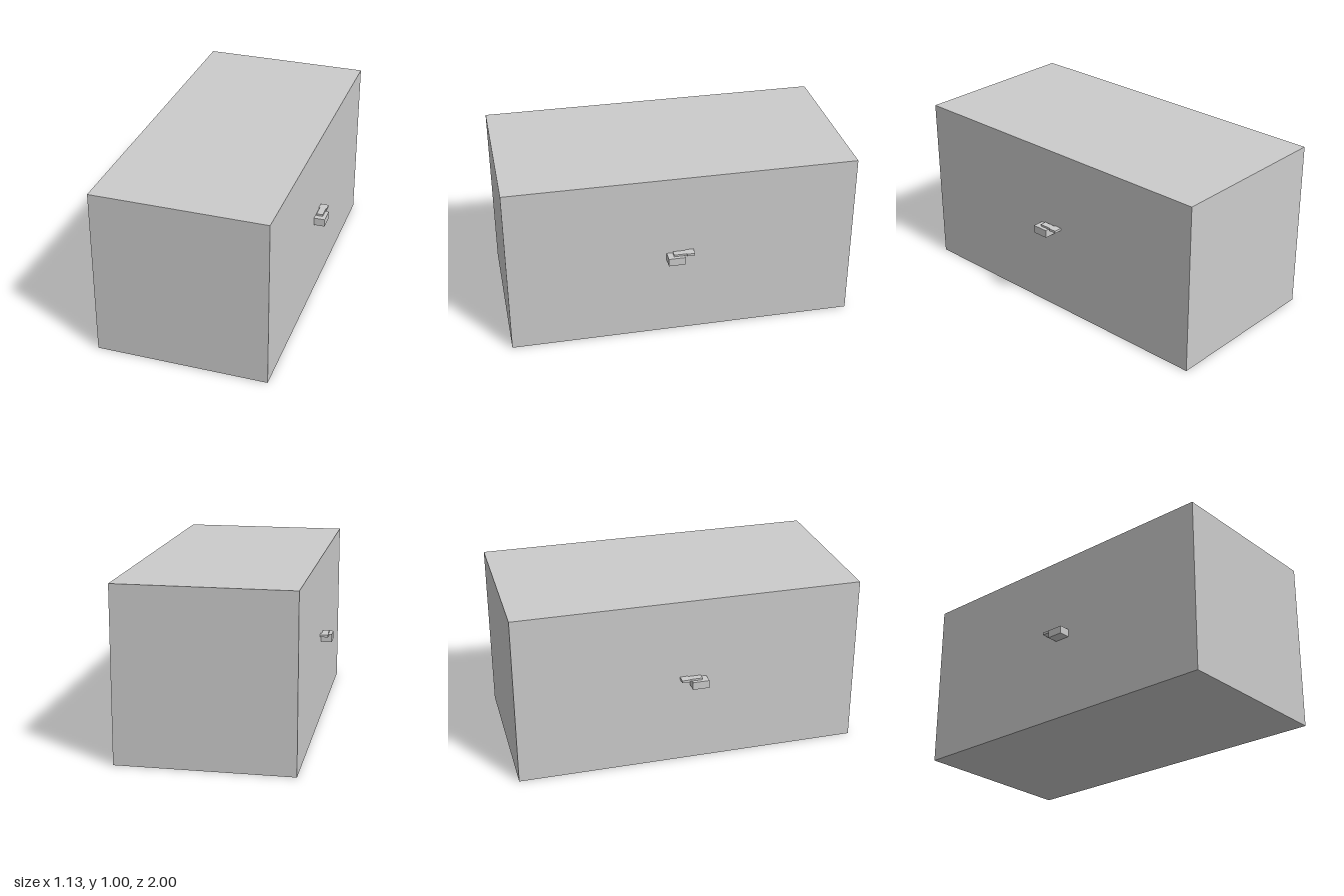
import * as THREE from 'three';

const material = new THREE.MeshStandardMaterial({ color: 0xcccccc, flatShading: true });

// Box spanning the given [min, max] ranges
function block(name, [x0, x1], [y0, y1], [z0, z1]) {
  const mesh = new THREE.Mesh(new THREE.BoxGeometry(x1 - x0, y1 - y0, z1 - z0), material);
  mesh.name = name;
  mesh.position.set((x0 + x1) / 2, (y0 + y1) / 2, (z0 + z1) / 2);
  return mesh;
}

// Range on one side of the body, mirrored for side = -1
const across = (side, a, b) => (side > 0 ? [a, b] : [-b, -a]);

export function createModel() {
  const model = new THREE.Group();
  model.name = 'boxWithSideLatches';

  // Main body
  model.add(block('body', [-0.5, 0.5], [0, 1], [-1, 1]));

  // A latch on each side: base block, thin strap on top, wider tab behind
  for (const side of [1, -1]) {
    const latch = new THREE.Group();
    latch.name = side > 0 ? 'leftLatch' : 'rightLatch';
    latch.add(
      block('latchBase', across(side, 0.5, 0.564), [0.48, 0.526], [0, 0.096]),
      block('latchStrap', across(side, 0.506, 0.543), [0.526, 0.537], [-0.015, 0.062]),
      block('latchTab', across(side, 0.5, 0.548), [0.523, 0.537], [-0.058, -0.012]),
    );
    model.add(latch);
  }
  return model;
}
